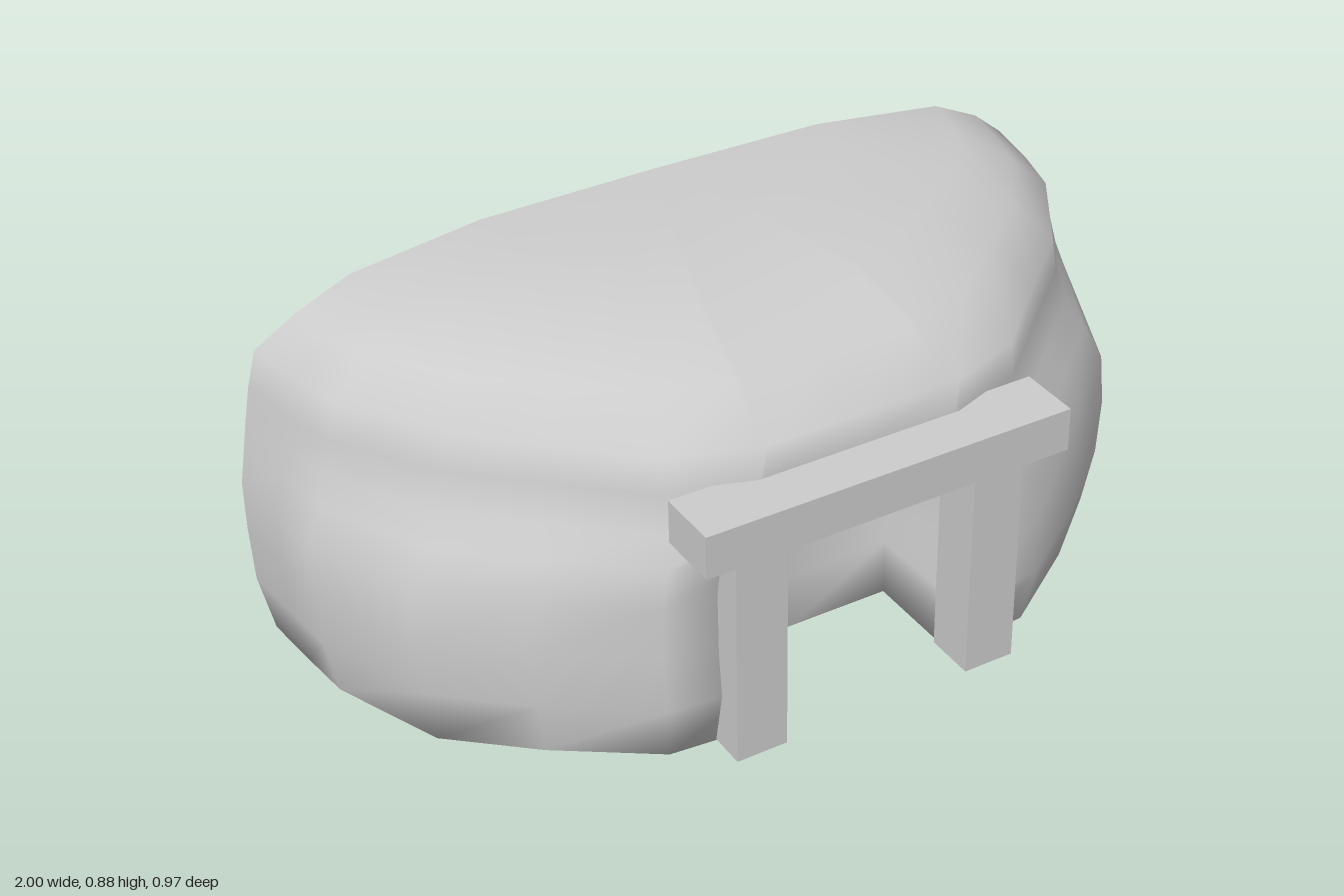
import * as THREE from 'three';

// Half of the plan outline, from the open back edge round to the doorway centre:
// [x, z, how strongly the shoulder taper applies]
const HALF = [[1, -0.48, 0], [0.985, -0.33, 0.15], [0.97, -0.2, 0.4], [0.86, 0.06, 1], [0.68, 0.215, 1],
  [0.46, 0.365, 0.6], [0.25, 0.385, 0], [0.235, 0.385, 0], [0, 0.385, 0]];
const OUTLINE = [...HALF, ...HALF.slice(0, -1).reverse().map(([x, z, w]) => [-x, z, w])];
const DOOR_COLUMNS = [7, 8, 9];
const ALCOVE_X = 0.24;
const ALCOVE_Z = 0.115;

// Rings from floor to crown: [height, x scale, z scale, back z, shoulder taper, recessed doorway]
const RINGS = [
  [0.015, 0.968, 0.975, -0.47, 0, true],
  [0.15, 0.995, 1.02, -0.483, 0, true],
  [0.28, 1, 1.005, -0.485, -0.01, true],
  [0.4, 1, 1.005, -0.485, 0, true],
  [0.49, 0.985, 1.025, -0.485, 0.04, true],
  [0.55, 0.975, 1.005, -0.485, 0.07, false],
  [0.63, 0.96, 0.99, -0.485, 0.085, false],
  [0.715, 0.94, 0.985, -0.48, 0.085, false],
  [0.79, 0.85, 0.8, -0.455, 0.08, false],
  [0.85, 0.73, 0.58, -0.445, 0.08, false],
  [0.878, 0.42, 0.32, -0.465, 0, false],
  [0.876, 0, 0, -0.475, 0, false],
];

function ringPoints([y, sx, sz, back, taper, recessed]) {
  return OUTLINE.map(([x, z, weight], i) => {
    if (recessed && DOOR_COLUMNS.includes(i)) return [Math.sign(x) * ALCOVE_X, y, ALCOVE_Z];
    const pull = 1 - taper * weight;
    return [x * sx * pull, y, back + (z + 0.48) * sz * pull];
  });
}

// Domed wall, roof and floor in one smooth skin, open at the back, with the doorway alcove pushed in
function shellGeometry() {
  const n = OUTLINE.length;
  const rows = RINGS.map(ringPoints);
  const index = [];
  for (let j = 0; j < rows.length - 1; j++) {
    for (let i = 0; i < n - 1; i++) {
      const a = j * n + i, b = a + 1, c = a + n, d = c + 1;
      index.push(a, c, b);
      if (j < rows.length - 2) index.push(b, c, d);
    }
  }
  // Floor spans the lowest ring, which sags slightly at the left side
  const contour = rows[0].map(([x, , z]) => new THREE.Vector2(x, z));
  index.push(...THREE.ShapeUtils.triangulateShape(contour, []).flat());
  rows[0][2][1] = 0;

  const geometry = new THREE.BufferGeometry();
  geometry.setAttribute('position', new THREE.Float32BufferAttribute(rows.flat(2), 3));
  geometry.setIndex(index);
  geometry.computeVertexNormals();
  return geometry;
}

export function createModel() {
  const group = new THREE.Group();
  const solid = new THREE.MeshStandardMaterial({ color: 0xcccccc });
  const thin = new THREE.MeshStandardMaterial({ color: 0xcccccc, side: THREE.DoubleSide });

  const add = (name, geometry, material, x = 0, y = 0, z = 0) => {
    const mesh = new THREE.Mesh(geometry, material);
    mesh.name = name;
    mesh.position.set(x, y, z);
    group.add(mesh);
  };

  add('domeShell', shellGeometry(), thin);

  // Door frame
  add('leftDoorPost', new THREE.BoxGeometry(0.12, 0.54, 0.12), solid, 0.29, 0.288, 0.39);
  add('rightDoorPost', new THREE.BoxGeometry(0.12, 0.54, 0.12), solid, -0.28, 0.288, 0.39);
  add('lintel', new THREE.BoxGeometry(0.865, 0.1, 0.145), solid, 0.005, 0.59, 0.4125);

  return group;
}
